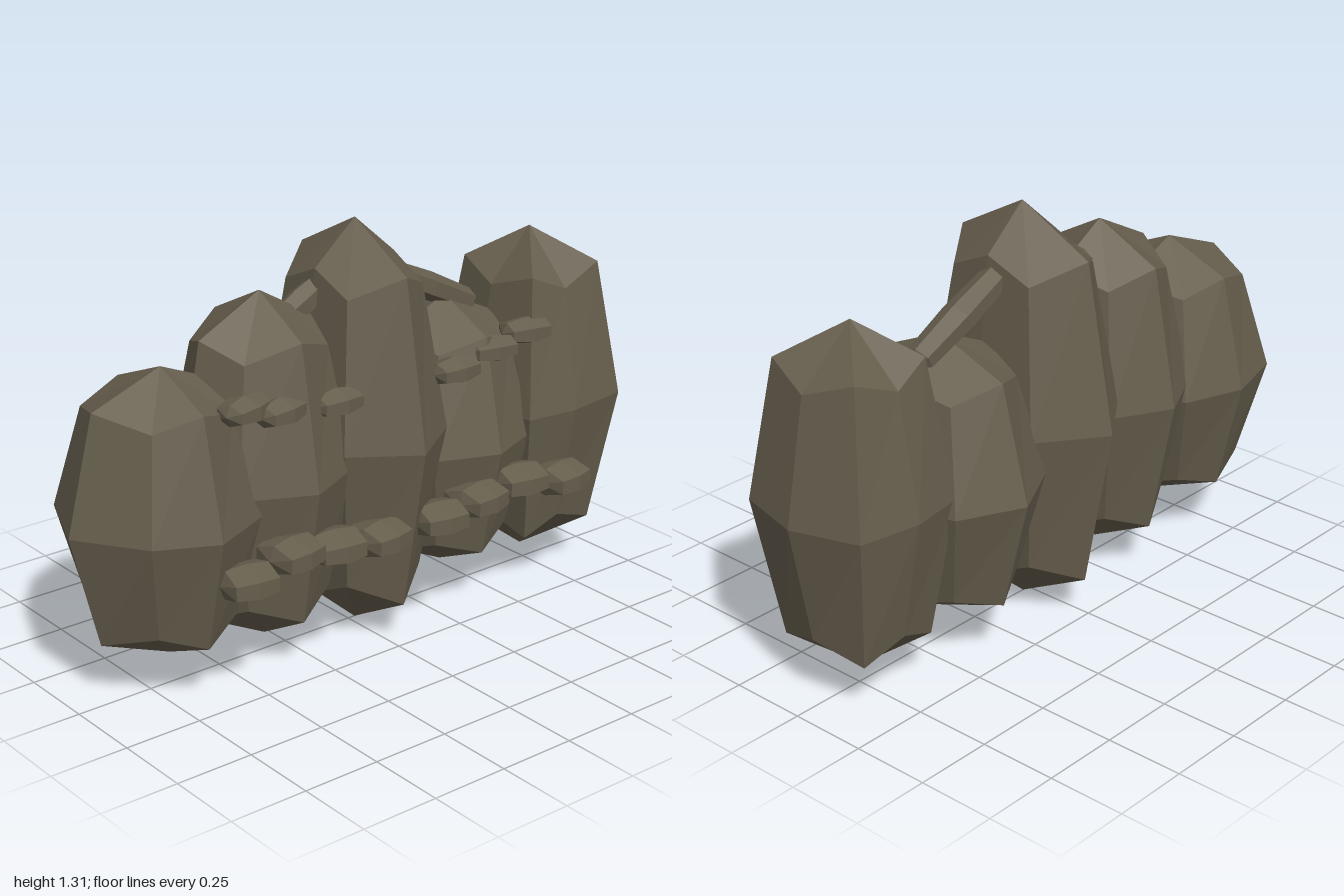
import * as THREE from 'three';

const stone = new THREE.MeshStandardMaterial({ color: 0x665e4d, flatShading: true });
stone.name = 'darkStone';

// Faceted lozenge along y: tip, ring, wide middle outline, ring, tip.
// outline: [dx, dz] points; rise(j): ring height as a fraction of the half height.
function lozenge(outline, half, ratio, rise) {
  const n = outline.length;
  const point = (row, j) => {
    const k = j % n;
    if (row === 0 || row === 4) return [0, row ? half : -half, 0];
    const s = row === 2 ? 1 : ratio;
    return [outline[k][0] * s, (row - 2) * half * rise(k), outline[k][1] * s];
  };
  const pos = [];
  for (let row = 0; row < 4; row++) {
    for (let j = 0; j < n; j++) {
      const a = point(row, j), b = point(row, j + 1);
      const c = point(row + 1, j), d = point(row + 1, j + 1);
      if (row > 0) pos.push(...a, ...c, ...b);
      if (row < 3) pos.push(...c, ...d, ...b);
    }
  }
  const geo = new THREE.BufferGeometry();
  geo.setAttribute('position', new THREE.Float32BufferAttribute(pos, 3));
  geo.computeVertexNormals();
  return geo;
}

function add(group, name, geo, x, y, z) {
  const mesh = new THREE.Mesh(geo, stone);
  mesh.name = name;
  mesh.position.set(x, y, z);
  group.add(mesh);
  return mesh;
}

// Small six-sided pebble lying along x
function bar(length, ry, rz, ratio = 0.75) {
  const outline = [];
  for (let i = 0; i < 6; i++) {
    const a = (i / 6) * Math.PI * 2;
    outline.push([Math.cos(a) * ry, Math.sin(a) * rz * 1.15]);
  }
  return lozenge(outline, length / 2, ratio, () => 0.8).rotateZ(Math.PI / 2);
}

export function createModel() {
  const model = new THREE.Group();
  model.name = 'stoneCluster';

  // Five standing boulders; even outline points are on the axes, odd on the diagonals
  const boulders = [
    { name: 'outerRightBoulder', x: -0.68, y: 0.55, half: 0.45, high: 0,
      outline: [[0.3, 0], [0.2, 0.2], [0, 0.29], [-0.18, 0.2], [-0.32, -0.01], [-0.22, -0.25], [0, -0.31], [0.2, -0.24]] },
    { name: 'innerRightBoulder', x: -0.33, y: 0.605, half: 0.55, high: 0,
      outline: [[0.26, 0], [0.21, 0.18], [0, 0.28], [-0.21, 0.18], [-0.3, 0], [-0.2, -0.21], [0, -0.31], [0.19, -0.21]] },
    { name: 'centreBoulder', x: 0.025, y: 0.655, half: 0.655, high: 0,
      outline: [[0.21, 0], [0.2, 0.2], [0, 0.335], [-0.2, 0.2], [-0.21, 0], [-0.2, -0.21], [0, -0.355], [0.2, -0.21]] },
    { name: 'innerLeftBoulder', x: 0.38, y: 0.55, half: 0.45, high: 0,
      outline: [[0.27, 0], [0.2, 0.2], [0, 0.28], [-0.2, 0.2], [-0.27, 0], [-0.2, -0.23], [0, -0.335], [0.2, -0.24]] },
    { name: 'outerLeftBoulder', x: 0.735, y: 0.605, half: 0.55, high: 1,
      outline: [[0.265, 0], [0.21, 0.22], [-0.01, 0.25], [-0.19, 0.23], [-0.22, 0], [-0.18, -0.22], [0, -0.25], [0.195, -0.215]] },
  ];
  for (const b of boulders) {
    const geo = lozenge(b.outline, b.half, 0.72, (j) => (j % 2 === b.high ? 0.8 : 0.7));
    add(model, b.name, geo, b.x, b.y, 0);
  }

  // Lower row of pebbles on the front
  const lower = new THREE.Group();
  lower.name = 'lowerPebbles';
  const lowerSpots = [[-0.58, 0.4], [-0.42, 0.44], [-0.26, 0.42], [-0.09, 0.4],
    [0.14, 0.4], [0.3, 0.42], [0.47, 0.44], [0.65, 0.4]];
  lowerSpots.forEach(([x, y], i) => {
    add(lower, 'lowerPebble', bar(0.175, 0.052, 0.085, 0.85), x, y, 0.26).rotation.y = i % 2 ? 0.15 : -0.15;
  });
  model.add(lower);

  // Upper row of pebbles on the front
  const upper = new THREE.Group();
  upper.name = 'upperPebbles';
  const upperSpots = [[-0.52, 0.885, 0.18, 0.3], [-0.41, 0.86, 0.2, 0.2], [-0.19, 0.83, 0.18, 0],
    [0.26, 0.83, 0.19, 0], [0.42, 0.86, 0.18, -0.2], [0.57, 0.885, 0.17, -0.2]];
  for (const [x, y, z, turn] of upperSpots) {
    add(upper, 'upperPebble', bar(0.17, 0.043, 0.06), x, y, z).rotation.y = turn;
  }
  model.add(upper);

  // Slanted struts leaning on the centre boulder
  const leftStrut = add(model, 'leftStrut', bar(0.45, 0.045, 0.05, 0.85), 0.32, 1.035, -0.015);
  leftStrut.rotation.z = -0.45;
  const rightStrut = add(model, 'rightStrut', bar(0.26, 0.045, 0.042, 0.85), -0.16, 1.08, -0.02);
  rightStrut.rotation.z = 0.5;

  return model;
}
